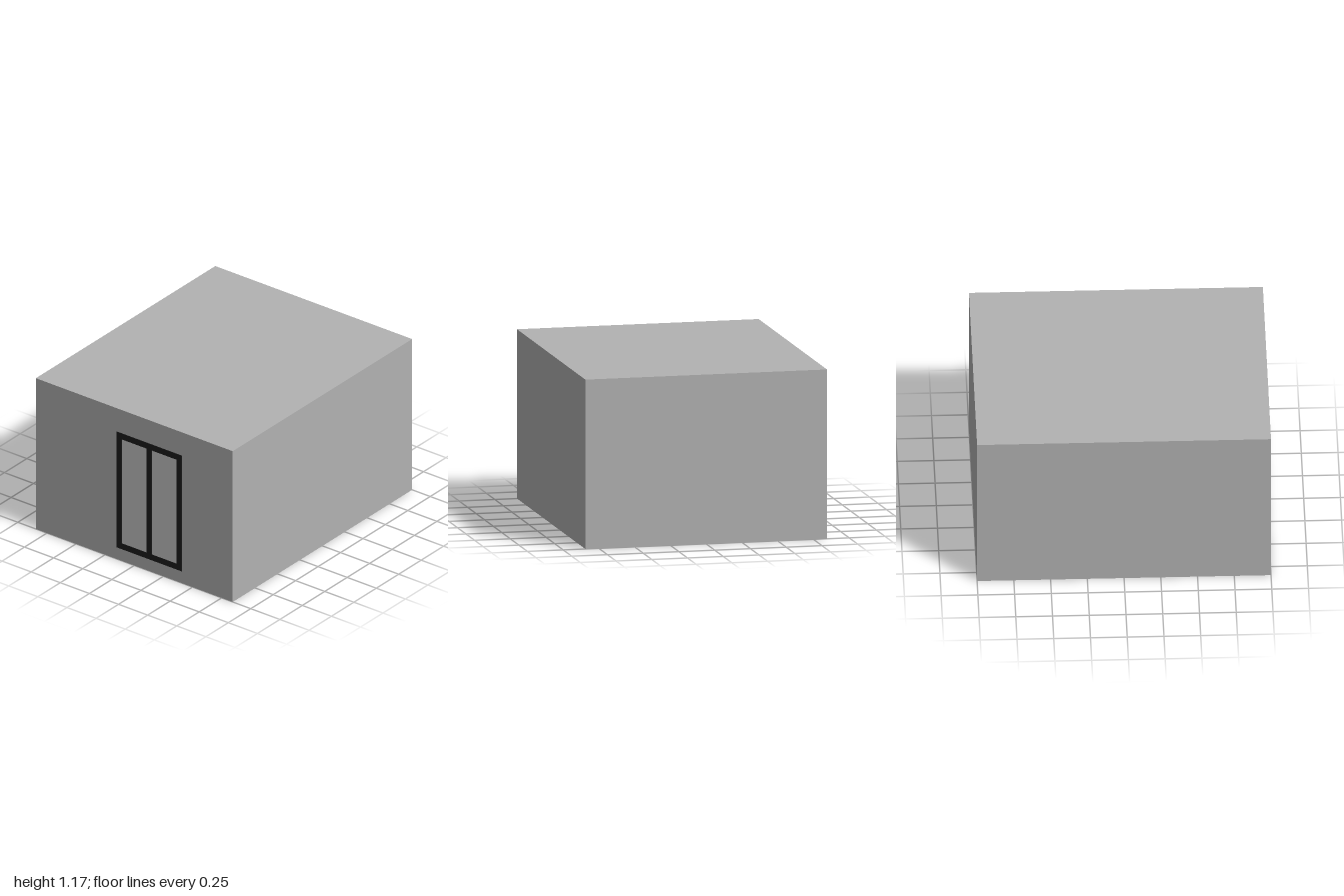
import * as THREE from 'three';

const WIDTH = 2, HEIGHT = 1.17, DEPTH = 1.69;
const WALL = 0.065;      // wall and roof thickness
const FLOOR_Y = 0.045;   // underside of the floor, set up inside the walls
const BASE_Y = FLOOR_Y - 0.002; // furniture feet show just below the floor

function material(name, color) {
  const m = new THREE.MeshStandardMaterial({ color });
  m.name = name;
  return m;
}

function addMesh(parent, name, geometry, mat, x = 0, y = 0, z = 0) {
  const mesh = new THREE.Mesh(geometry, mat);
  mesh.name = name;
  mesh.position.set(x, y, z);
  parent.add(mesh);
  return mesh;
}

// Box given by its ranges along each axis
function addBox(parent, name, mat, x0, x1, y0, y1, z0, z1) {
  return addMesh(parent, name, new THREE.BoxGeometry(x1 - x0, y1 - y0, z1 - z0), mat,
    (x0 + x1) / 2, (y0 + y1) / 2, (z0 + z1) / 2);
}

function rectangle(Type, w, h) {
  const s = new Type();
  s.moveTo(-w / 2, -h / 2);
  s.lineTo(w / 2, -h / 2);
  s.lineTo(w / 2, h / 2);
  s.lineTo(-w / 2, h / 2);
  s.closePath();
  return s;
}

export function createModel() {
  const model = new THREE.Group();
  model.name = 'room';
  const wallGrey = material('wall grey', 0xb2b2b2);
  const floorMauve = material('floor mauve', 0xb8a3a7);
  const black = material('black', 0x1c1c1c);
  const paleGrey = material('pale grey', 0xc8c8c8);

  // Four walls as one open ring, closed by the roof
  const ring = rectangle(THREE.Shape, WIDTH, DEPTH);
  ring.holes.push(rectangle(THREE.Path, WIDTH - 2 * WALL, DEPTH - 2 * WALL));
  const walls = new THREE.ExtrudeGeometry(ring, { depth: HEIGHT - WALL, bevelEnabled: false });
  walls.rotateX(-Math.PI / 2);
  addMesh(model, 'walls', walls, wallGrey);
  addBox(model, 'roof', wallGrey, -WIDTH / 2, WIDTH / 2, HEIGHT - WALL, HEIGHT, -DEPTH / 2, DEPTH / 2);

  // Floor raised between the walls
  const ix = WIDTH / 2 - WALL, iz = DEPTH / 2 - WALL;
  addBox(model, 'floor', floorMauve, -ix, ix, FLOOR_Y, FLOOR_Y + 0.02, -iz, iz);

  // Double door on the -x wall: two panels in a black frame
  const door = new THREE.Group();
  door.name = 'door';
  model.add(door);
  const z0 = -0.15, z1 = 0.41, y0 = 0.093, y1 = 0.99, bar = 0.045, mid = (z0 + z1) / 2;
  const outer = -WIDTH / 2 - 0.004, inner = -WIDTH / 2 + 0.002;
  addBox(door, 'doorPanels', paleGrey, outer + 0.002, inner, y0 + bar, y1 - bar, z0 + bar, z1 - bar);
  for (const y of [y0, y1 - bar]) addBox(door, 'doorRail', black, outer, inner, y, y + bar, z0, z1);
  for (const z of [z0, mid - bar / 2, z1 - bar]) {
    addBox(door, 'doorPost', black, outer, inner, y0 + bar, y1 - bar, z, z + bar);
  }

  // Counter and a cabinet against the back wall
  addBox(model, 'counter', black, -0.656, 0.33, BASE_Y, 0.45, -0.3, -0.06);
  addBox(model, 'cabinet', paleGrey, 0.36, 0.73, BASE_Y, 0.75, -iz, -0.637);

  // Row of three stools
  for (const x of [0, -0.237, -0.474]) {
    const stool = new THREE.Group();
    stool.name = 'stool';
    stool.position.set(x, BASE_Y, 0.033);
    model.add(stool);
    addMesh(stool, 'stoolBase', new THREE.CylinderGeometry(0.052, 0.052, 0.035, 24), black, 0, 0.0175, 0);
    addMesh(stool, 'stoolPost', new THREE.CylinderGeometry(0.012, 0.012, 0.23, 12), black, 0, 0.15, 0);
    addMesh(stool, 'stoolSeat', new THREE.CylinderGeometry(0.052, 0.052, 0.03, 24), black, 0, 0.28, 0);
  }

  return model;
}
